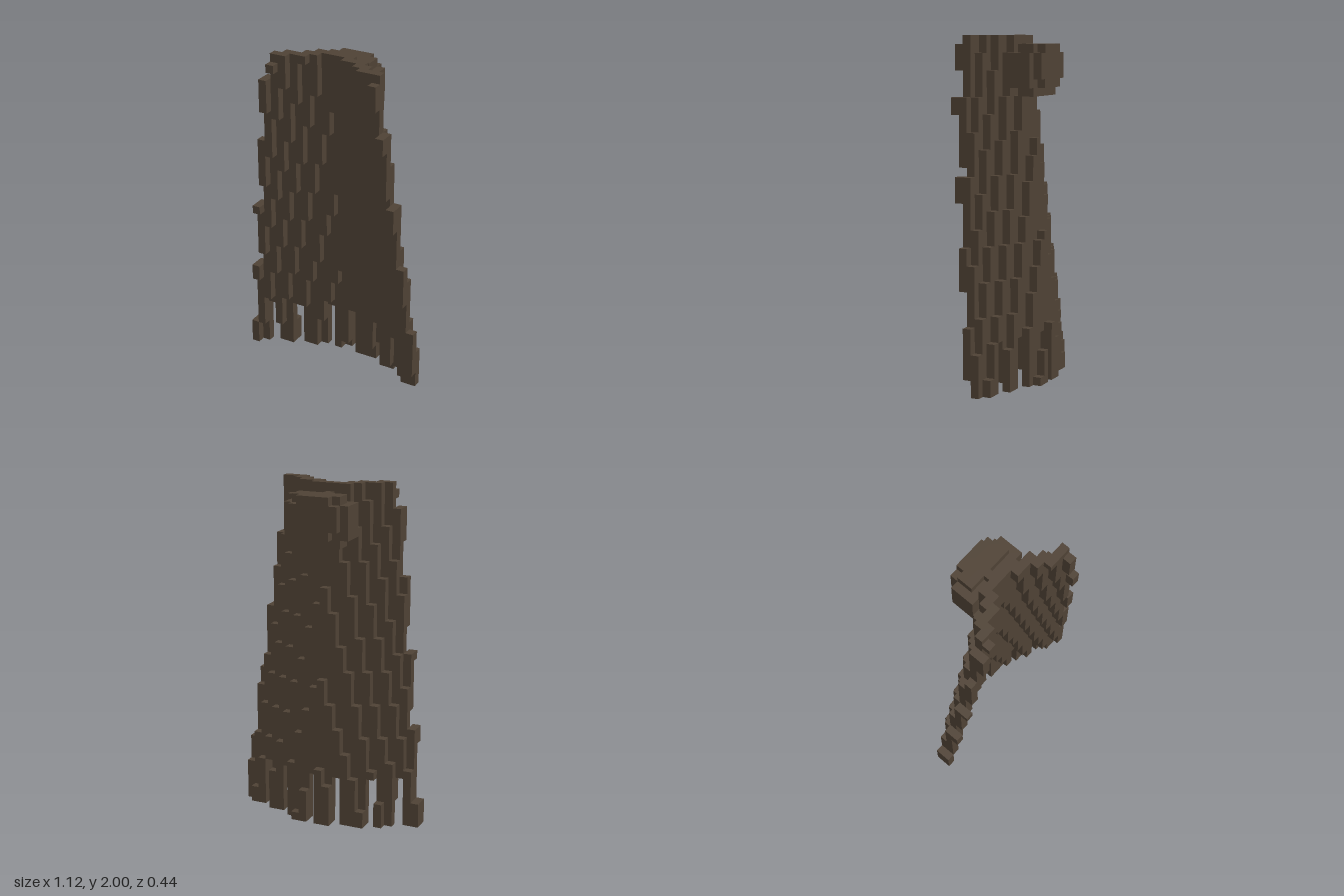
import * as THREE from 'three';

const S = 2 / 41;            // block size
const NX = 23, NY = 41, NZ = 9;
const MID = 11.75;           // middle column of the cloth

// Outward normal and two in-plane axes (u x v = n) for each block face
const SIDES = [
  [[1, 0, 0], [0, 1, 0], [0, 0, 1]], [[-1, 0, 0], [0, 0, 1], [0, 1, 0]],
  [[0, 1, 0], [0, 0, 1], [1, 0, 0]], [[0, -1, 0], [1, 0, 0], [0, 0, 1]],
  [[0, 0, 1], [1, 0, 0], [0, 1, 0]], [[0, 0, -1], [0, 1, 0], [1, 0, 0]],
];

const key = (i, j, k) => `${i},${j},${k}`;

function fill(cells, i0, i1, j0, j1, k0, k1) {
  for (let i = i0; i <= i1; i++)
    for (let j = j0; j <= j1; j++)
      for (let k = k0; k <= k1; k++) cells.set(key(i, j, k), [i, j, k]);
}

// Outer skin of a set of blocks; faces touching a solid block are left out
function blockGeometry(cells, solid) {
  const pos = [], nor = [], idx = [];
  for (const c of cells.values()) {
    for (const [n, u, v] of SIDES) {
      if (solid.has(key(c[0] + n[0], c[1] + n[1], c[2] + n[2]))) continue;
      const base = pos.length / 3;
      for (const [a, b] of [[-1, -1], [1, -1], [1, 1], [-1, 1]]) {
        const p = c.map((q, d) => q + 0.5 + (n[d] + a * u[d] + b * v[d]) / 2);
        pos.push((p[0] - NX / 2) * S, p[1] * S, (p[2] - NZ / 2) * S);
        nor.push(...n);
      }
      idx.push(base, base + 1, base + 2, base, base + 2, base + 3);
    }
  }
  const g = new THREE.BufferGeometry();
  g.setAttribute('position', new THREE.Float32BufferAttribute(pos, 3));
  g.setAttribute('normal', new THREE.Float32BufferAttribute(nor, 3));
  g.setIndex(idx);
  return g;
}

export function createModel() {
  const group = new THREE.Group();
  group.name = 'cloak';
  const cloth = new THREE.MeshStandardMaterial({ color: 0x4f4235 });
  cloth.name = 'brown cloth';

  // Cape: a flaring sheet leaning back, with both sides curving forward
  const cape = new Map();
  const slots = new Set([2, 5, 9, 12, 16, 19]);
  for (let j = 0; j < NY; j++) {
    const half = 11.594 - 0.115 * j;
    for (let i = 0; i < NX; i++) {
      const d = Math.abs(i + 0.5 - MID);
      if (d >= half) continue;
      if (j < 6 && slots.has(i)) continue;   // tattered hem
      const curve = 4.3 * Math.pow(d / half, 1.4);
      const front = 4 + (j + 0.5 - 34) / 11 + curve;
      const back = 3 + (j + 0.5 - 29) / 11 + curve;
      const limit = j === NY - 1 ? 7 : NZ - 1;
      const k1 = Math.min(limit, Math.floor(front));
      fill(cape, i, i, j, j, Math.min(k1, Math.max(0, Math.floor(back))), k1);
    }
  }

  // Hood: a rounded bundle hanging behind the neck
  const hood = new Map();
  fill(hood, 10, 13, 35, 39, 0, 0);
  fill(hood, 9, 14, 36, 38, 0, 0);
  fill(hood, 9, 14, 34, 39, 1, 2);
  fill(hood, 8, 15, 35, 38, 1, 3);
  for (const c of cape.keys()) hood.delete(c);

  const solid = new Set([...cape.keys(), ...hood.keys()]);
  for (const [name, cells] of [['cape', cape], ['hood', hood]]) {
    const mesh = new THREE.Mesh(blockGeometry(cells, solid), cloth);
    mesh.name = name;
    group.add(mesh);
  }
  return group;
}
